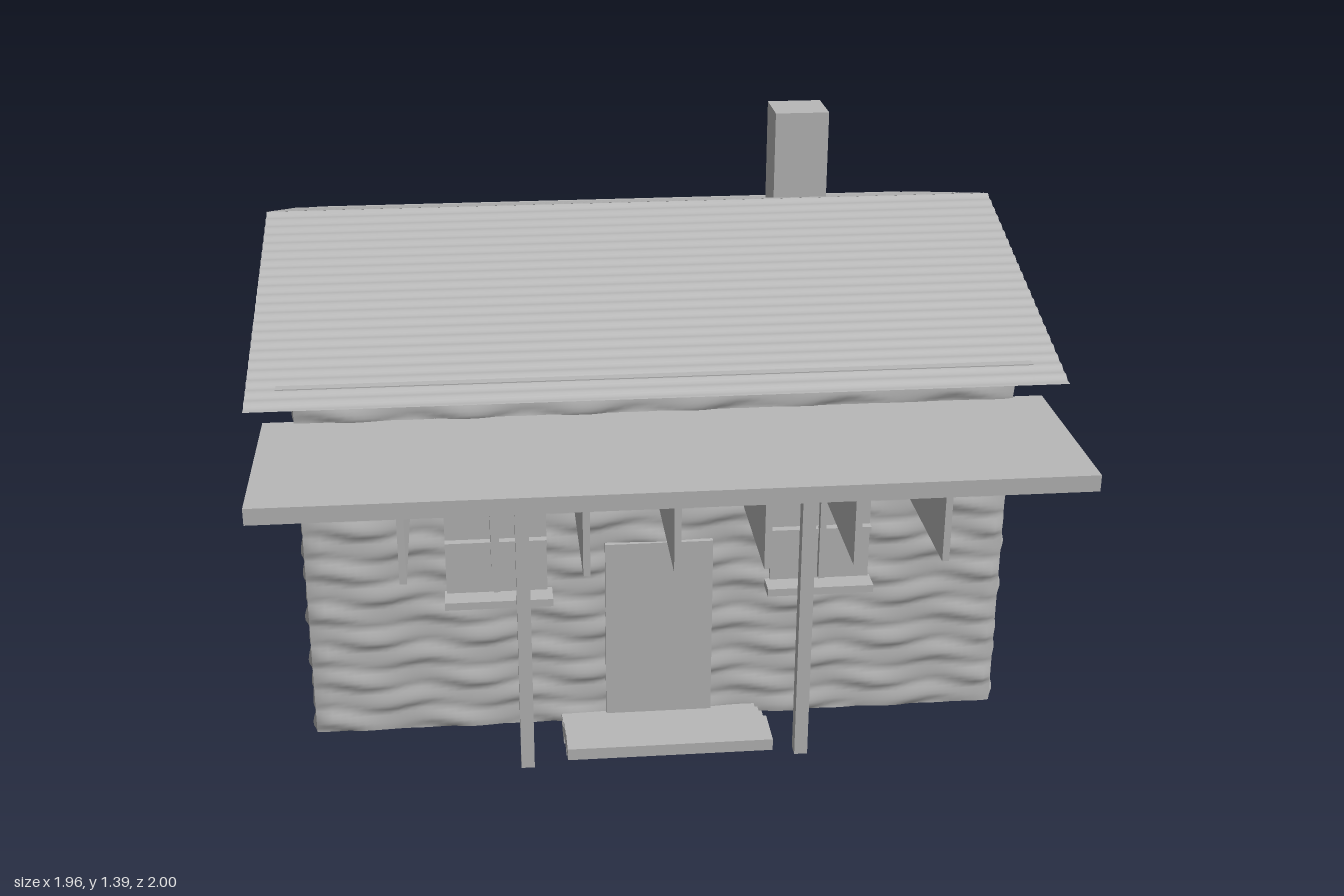
import * as THREE from 'three';

export function createModel() {
  const house = new THREE.Group();
  house.name = 'house';
  const grey = new THREE.MeshStandardMaterial({ color: 0xb8b8b8, side: THREE.DoubleSide });
  grey.name = 'plainGrey';

  const add = (name, geometry, parent = house) => {
    const mesh = new THREE.Mesh(geometry, grey);
    mesh.name = name;
    parent.add(mesh);
    return mesh;
  };
  // Box given by its limits on each axis
  const box = (name, [x0, x1], [y0, y1], [z0, z1], parent) =>
    add(name, new THREE.BoxGeometry(x1 - x0, y1 - y0, z1 - z0), parent)
      .position.set((x0 + x1) / 2, (y0 + y1) / 2, (z0 + z1) / 2);

  // Flat sheet pushed outward by a rule of its own u, v coordinates
  const reliefSheet = (w, h, nu, nv, rule) => {
    const g = new THREE.PlaneGeometry(w, h, nu, nv);
    const p = g.attributes.position;
    for (let i = 0; i < p.count; i++) p.setZ(i, rule(p.getX(i), p.getY(i)));
    g.computeVertexNormals();
    return g;
  };

  // Walls: wavy, staggered courses that bulge most near their lower edge
  const wallHeight = 0.92, rows = 15;
  const wall = (name, width, seed) => reliefSheet(width, wallHeight, 84, rows * 6, (x, y) => {
    if (Math.abs(x) > width / 2 - 0.001) return 0;
    const v = (y / wallHeight + 0.5) * rows + 0.16 * Math.sin(x * 24 + seed);
    const row = Math.floor(v), t = v - row;
    const swell = 0.65 + 0.35 * Math.sin(x * 21 + row * 2.6 + seed);
    return 0.011 * swell * Math.sin(Math.PI * Math.pow(t, 0.65));
  });
  const midY = 0.03 + wallHeight / 2, midZ = -0.17;
  const walls = [
    ['frontWall', 1.75, 0, 0, 0.54],
    ['backWall', 1.75, Math.PI, 0, -0.88],
    ['leftWall', 1.42, Math.PI / 2, 0.875, midZ],
    ['rightWall', 1.42, -Math.PI / 2, -0.875, midZ],
  ];
  walls.forEach(([name, width, turn, x, z], i) => {
    const m = add(name, wall(name, width, i * 1.7));
    m.rotation.y = turn;
    m.position.set(x, midY, z);
  });

  // Ceiling slab and open gable roof of thin ribbed sheets
  box('ceilingSlab', [-0.91, 0.91], [0.95, 0.99], [-0.92, 0.57]);
  const run = 0.82, rise = 0.235;
  const slope = Math.atan2(rise, run), length = Math.hypot(run, rise);
  for (const [name, turn, z] of [['frontRoof', 0, 0.235], ['backRoof', Math.PI, -0.585]]) {
    const g = reliefSheet(1.96, length, 1, 132,
      (x, y) => 0.0025 * Math.cos((y / length + 0.5) * 44 * Math.PI) - 0.0015);
    g.rotateX(slope - Math.PI / 2).rotateY(turn);
    add(name, g).position.set(0, 0.965 + rise / 2, z);
  }
  box('chimney', [0.415, 0.565], [1.08, 1.39], [-0.505, -0.36]);

  // Porch canopy with hanging fins
  box('canopy', [-0.95, 0.95], [0.85, 0.89], [0.53, 1]);
  for (let i = -3; i <= 3; i++) {
    const x = i * 0.204 - 0.003;
    box('canopyFin', [x - 0.008, x + 0.008], [0.685, 0.85], [0.565, 0.99]);
  }

  // Mirrored parts: porch posts, inner wall posts and windows
  for (const s of [-1, 1]) {
    const span = (a, b) => (s > 0 ? [a, b] : [-b, -a]);
    box('porchPost', span(0.327, 0.36), [0.015, 0.725], [0.692, 0.727]);
    box('wallPost', span(0.828, 0.868), [0, 0.95], [-0.19, -0.15]);

    const win = new THREE.Group();
    win.name = 'window';
    house.add(win);
    box('windowPane', span(0.28, 0.53), [0.42, 0.69], [0.54, 0.556], win);
    box('uprightBar', span(0.397, 0.413), [0.44, 0.69], [0.572, 0.592], win);
    box('crossBar', span(0.28, 0.53), [0.556, 0.57], [0.556, 0.576], win);
    box('windowSill', span(0.268, 0.535), [0.403, 0.423], [0.54, 0.608], win);
  }

  box('door', [-0.135, 0.135], [0.03, 0.54], [0.53, 0.557]);

  // Treads that climb away from the door
  const treads = [
    [[0.03, 0.055], [0.54, 0.65]],
    [[0.055, 0.083], [0.605, 0.685]],
    [[0.083, 0.112], [0.67, 0.785]],
    [[0.112, 0.142], [0.742, 0.85]],
  ];
  for (const [y, z] of treads) box('stepTread', [-0.25, 0.25], y, z);

  return house;
}
